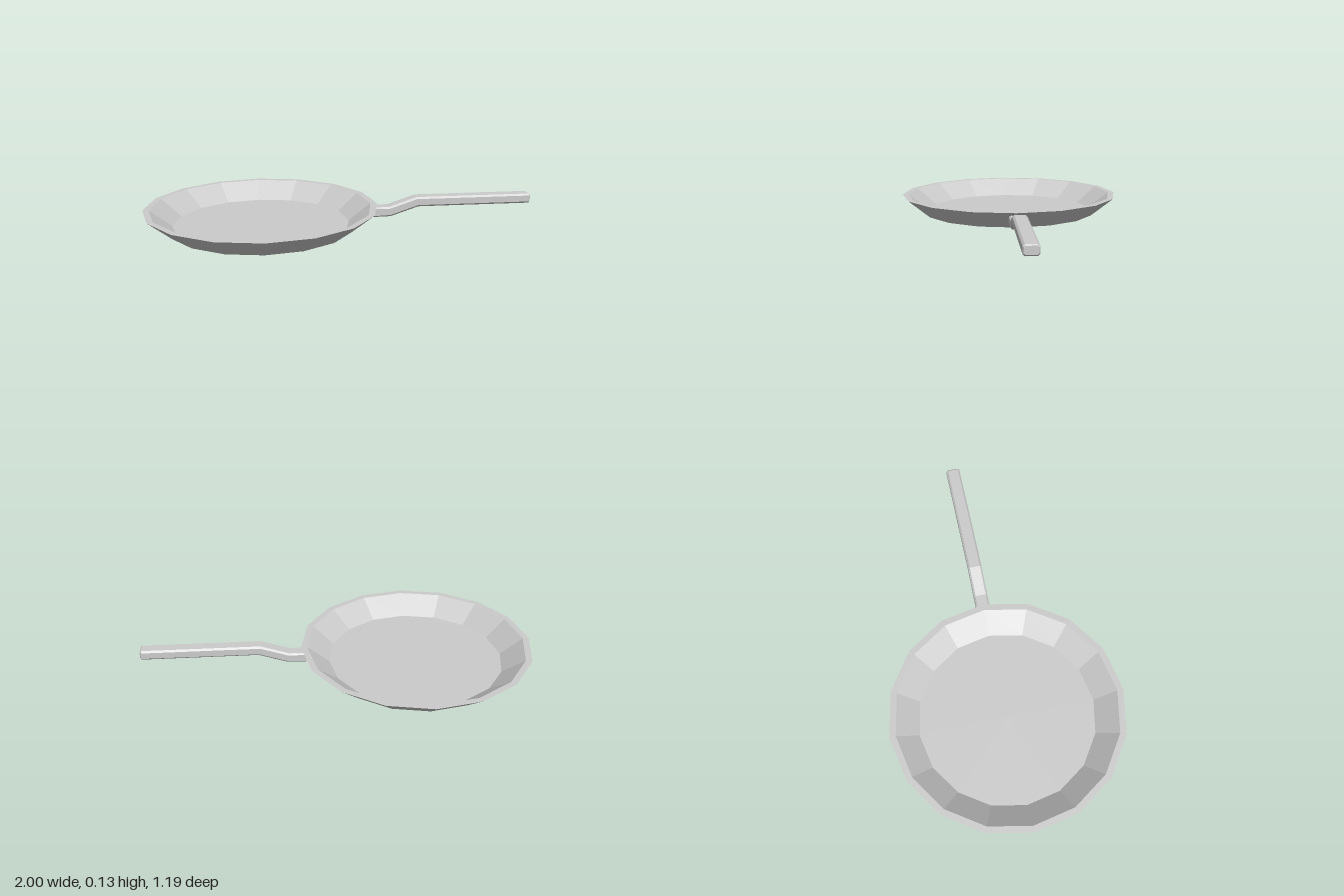
import * as THREE from 'three';

const SIDES = 16;
const smooth = new THREE.MeshStandardMaterial({ color: 0xcccccc });
const flat = new THREE.MeshStandardMaterial({ color: 0xcccccc, flatShading: true });

function lathe(name, profile, material) {
  const points = profile.map(([r, y]) => new THREE.Vector2(r, y));
  const mesh = new THREE.Mesh(new THREE.LatheGeometry(points, SIDES), material);
  mesh.name = name;
  return mesh;
}

// Bevelled bar swept along +x; each station is [xBottom, yBottom, xTop, yTop, inset]
function barGeometry(stations, halfWidth, bevel) {
  const rings = stations.map(([xb, yb, xt, yt, inset]) => {
    const dir = new THREE.Vector2(xt - xb, yt - yb);
    const h = dir.length() / 2;
    dir.normalize();
    const mx = (xb + xt) / 2, my = (yb + yt) / 2;
    const a = h - inset, w = halfWidth - inset;
    const c = bevel - inset * 0.5;
    // octagon as [along the section's height, z]
    const oct = [[a, -w + c], [a, w - c], [a - c, w], [-a + c, w],
      [-a, w - c], [-a, -w + c], [-a + c, -w], [a - c, -w]];
    return oct.map(([u, z]) => [mx + dir.x * u, my + dir.y * u, z]);
  });
  const pos = [];
  const tri = (...corners) => corners.forEach((p) => pos.push(...p));
  for (let i = 0; i < rings.length - 1; i++) {
    const a = rings[i], b = rings[i + 1];
    for (let k = 0; k < 8; k++) {
      const n = (k + 1) % 8;
      tri(a[k], a[n], b[n]);
      tri(a[k], b[n], b[k]);
    }
  }
  // end caps
  const first = rings[0], last = rings[rings.length - 1];
  for (let k = 1; k < 7; k++) {
    tri(first[0], first[k + 1], first[k]);
    tri(last[0], last[k], last[k + 1]);
  }
  const geo = new THREE.BufferGeometry();
  geo.setAttribute('position', new THREE.Float32BufferAttribute(pos, 3));
  geo.computeVertexNormals();
  return geo;
}

export function createModel() {
  const model = new THREE.Group();
  model.name = 'fryingPan';

  // Pan body: smooth outside, faceted inside
  const pan = new THREE.Group();
  pan.name = 'pan';
  pan.position.x = -0.405;
  pan.add(
    lathe('base', [[0, 0], [0.475, 0]], flat),
    lathe('outerWall', [[0.475, 0], [0.595, 0.097]], smooth),
    lathe('rimAndInside', [[0.595, 0.097], [0.563, 0.097], [0.45, 0.01], [0, 0.01]], flat),
  );
  model.add(pan);

  // Handle: leaves the sloping wall, steps up, then runs level
  const handle = new THREE.Mesh(barGeometry([
    [0.1, 0.028, 0.155, 0.08, 0],
    [0.26, 0.031, 0.25, 0.081, 0],
    [0.405, 0.079, 0.395, 0.129, 0],
    [0.993, 0.079, 0.993, 0.129, 0],
    [1.0, 0.079, 1.0, 0.129, 0.006],
  ], 0.036, 0.009), flat);
  handle.name = 'handle';
  model.add(handle);

  return model;
}
